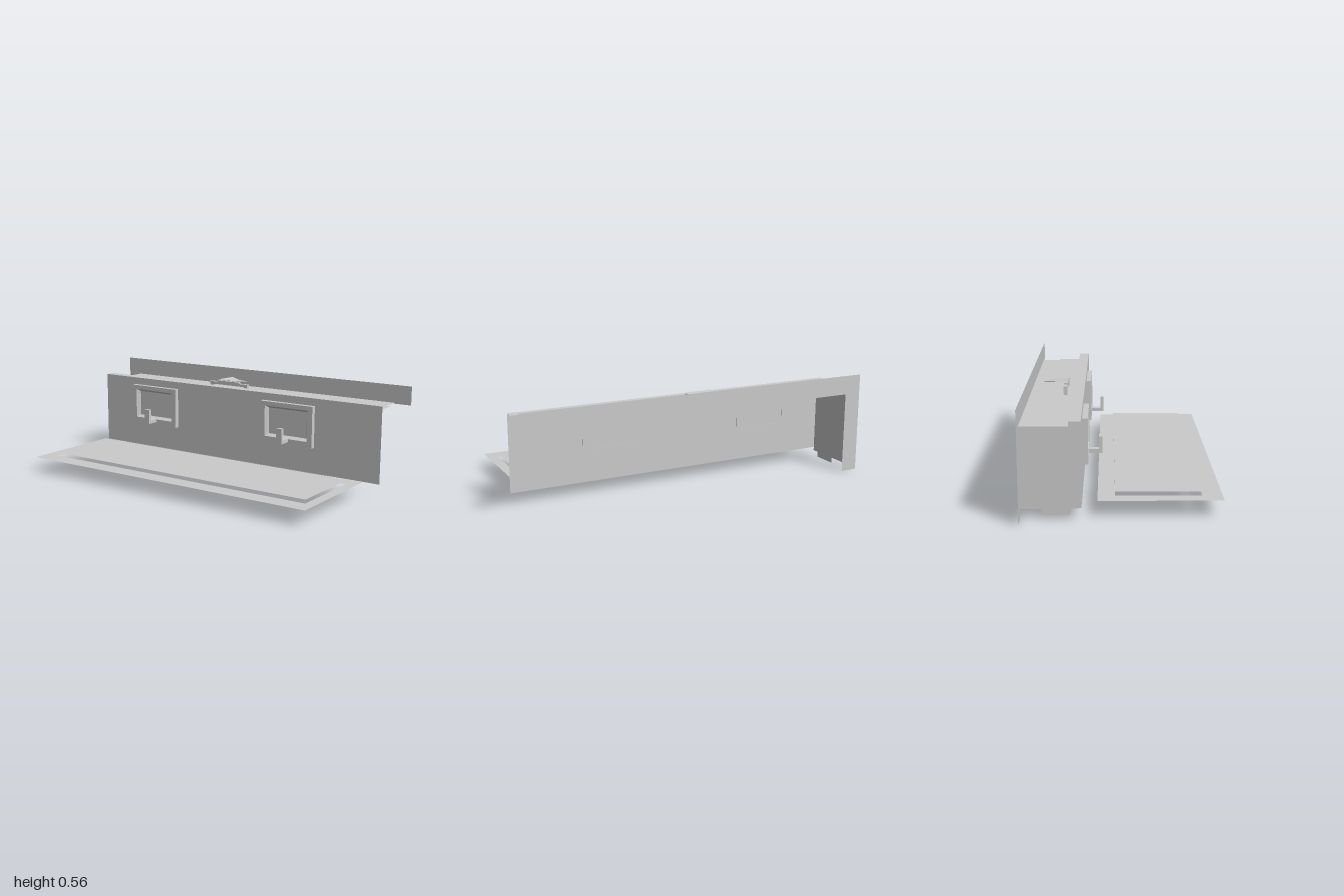
import * as THREE from 'three';

const mat = new THREE.MeshStandardMaterial({ color: 0xcccccc, side: THREE.DoubleSide });

function add(parent, name, geometry, x = 0, y = 0, z = 0) {
  const mesh = new THREE.Mesh(geometry, mat);
  mesh.name = name;
  mesh.position.set(x, y, z);
  parent.add(mesh);
  return mesh;
}

// Box given by its two opposite corners
function box(parent, name, x0, x1, y0, y1, z0, z1) {
  return add(parent, name, new THREE.BoxGeometry(x1 - x0, y1 - y0, z1 - z0),
    (x0 + x1) / 2, (y0 + y1) / 2, (z0 + z1) / 2);
}

const outline = (pts) => new THREE.Shape(pts.map(([a, b]) => new THREE.Vector2(a, b)));
const rect = (a0, a1, b0, b1) => outline([[a0, b0], [a1, b0], [a1, b1], [a0, b1]]);
function ring(a, b) {
  const s = rect(...a);
  s.holes.push(rect(...b));
  return s;
}

// Thin sheets: upright facing z, level (shape drawn in x, -z), and upright facing x (drawn in -z, y)
const frontSheet = (p, name, shape, z) => add(p, name, new THREE.ShapeGeometry(shape), 0, 0, z);
const levelSheet = (p, name, shape, y) =>
  add(p, name, new THREE.ShapeGeometry(shape).rotateX(-Math.PI / 2), 0, y, 0);
const sideSheet = (p, name, shape, x) =>
  add(p, name, new THREE.ShapeGeometry(shape).rotateY(Math.PI / 2), x, 0, 0);

// Framed recess with a small upright hook, centred on x
function hookUnit(x) {
  const g = new THREE.Group();
  g.name = 'hookUnit';
  const frame = new THREE.ExtrudeGeometry(ring([-0.168, 0.168, 0.21, 0.445], [-0.137, 0.137, 0.245, 0.42]),
    { depth: 0.03, bevelEnabled: false });
  add(g, 'hookFrame', frame, 0, 0, -0.197);
  // Sloping recess walls running down to the back plate
  const a = [[-0.137, 0.245], [0.137, 0.245], [0.137, 0.42], [-0.137, 0.42]];
  const b = [[-0.122, 0.258], [0.122, 0.258], [0.122, 0.407], [-0.122, 0.407]];
  const pos = [];
  for (let i = 0; i < 4; i++) {
    const j = (i + 1) % 4;
    const quad = [[...a[i], -0.168], [...a[j], -0.168], [...b[j], -0.19], [...b[i], -0.19]];
    for (const k of [0, 1, 2, 0, 2, 3]) pos.push(...quad[k]);
  }
  const slope = new THREE.BufferGeometry();
  slope.setAttribute('position', new THREE.Float32BufferAttribute(pos, 3));
  slope.computeVertexNormals();
  add(g, 'recessWalls', slope);
  frontSheet(g, 'recessBack', rect(-0.122, 0.122, 0.258, 0.407), -0.19);
  box(g, 'hookArm', -0.018, 0.018, 0.228, 0.248, -0.19, -0.097);
  box(g, 'hookTip', -0.018, 0.018, 0.248, 0.315, -0.115, -0.097);
  g.position.x = x;
  return g;
}

export function createModel() {
  const model = new THREE.Group();
  model.name = 'panelAssembly';

  // Back trim: long strip with one leg
  frontSheet(model, 'backTrim', outline([[-1, 0], [-0.905, 0], [-0.905, 0.45], [1, 0.45], [1, 0.555], [-1, 0.555]]), -0.49);

  // Open body: top sheet with end tab, one end wall with bottom tab
  levelSheet(model, 'bodyTop', outline([[-0.91, 0.21], [0.905, 0.21], [0.905, 0.255], [0.93, 0.255],
    [0.93, 0.385], [0.905, 0.385], [0.905, 0.49], [-0.91, 0.49]]), 0.455);
  sideSheet(model, 'bodyEnd', outline([[0.21, 0.05], [0.248, 0.05], [0.248, 0.02], [0.385, 0.02],
    [0.385, 0.05], [0.49, 0.05], [0.49, 0.455], [0.21, 0.455]]), -0.91);

  // Front panel with folded top lip and end cap
  frontSheet(model, 'frontPanel', rect(-0.94, 0.967, 0.065, 0.487), -0.195);
  levelSheet(model, 'frontLip', rect(-0.94, 0.967, 0.195, 0.253), 0.487);
  sideSheet(model, 'frontEndCap', outline([[0.195, 0.065], [0.212, 0.065], [0.212, 0.455],
    [0.253, 0.455], [0.253, 0.487], [0.195, 0.487]]), -0.94);

  // Hooks on the front and matching cover outlines on top
  for (const x of [-0.54, 0.4]) {
    model.add(hookUnit(x));
    const c = x + 0.01;
    levelSheet(model, 'coverRim', ring([c - 0.23, c + 0.23, 0.285, 0.46], [c - 0.215, c + 0.215, 0.3, 0.447]), 0.458);
    levelSheet(model, 'coverSlot', rect(c - 0.06, c + 0.05, 0.325, 0.345), 0.459);
  }

  // Latch: two legs through the top, a crossbar and a tilted flap
  const latch = new THREE.Group();
  latch.name = 'latch';
  for (const x of [-0.187, 0.052]) box(latch, 'latchLeg', x - 0.013, x + 0.013, 0.44, 0.492, -0.308, -0.288);
  box(latch, 'latchBar', -0.2, 0.065, 0.485, 0.5, -0.308, -0.288);
  box(latch, 'latchBarMiddle', -0.145, 0.005, 0.5, 0.508, -0.308, -0.288);
  const flap = new THREE.ShapeGeometry(outline([[-0.145, 0.288], [0.005, 0.288], [0, 0.385],
    [-0.075, 0.417], [-0.125, 0.417]])).rotateX(-Math.PI / 2);
  const p = flap.attributes.position;
  for (let i = 0; i < p.count; i++) {
    const back = (-p.getZ(i) - 0.288) / 0.129;
    p.setY(i, 0.514 - (p.getX(i) > -0.1 ? 0.014 * back : 0));
  }
  flap.computeVertexNormals();
  add(latch, 'latchFlap', flap);
  model.add(latch);

  // Loose floor frame with a slightly raised centre
  levelSheet(model, 'floorFrame', ring([-0.9, 0.905, -0.49, 0.12], [-0.82, 0.85, -0.39, 0.035]), 0.085);
  levelSheet(model, 'floorCentre', rect(-0.82, 0.85, -0.39, 0.035), 0.105);

  return model;
}
